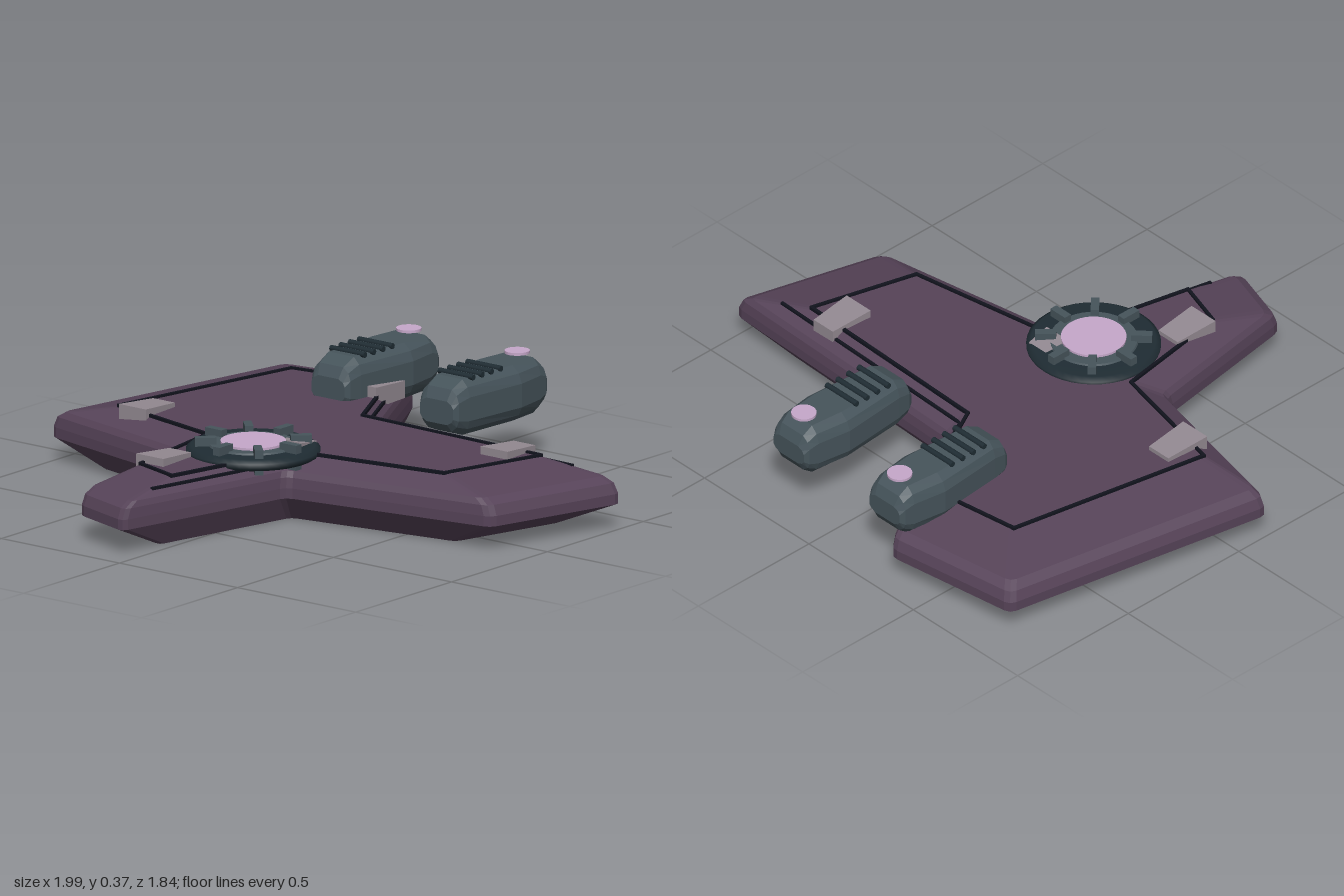
import * as THREE from 'three';

const mat = (name, color) => {
  const m = new THREE.MeshStandardMaterial({ color });
  m.name = name;
  return m;
};

// Faceted skin through equal-length closed rings, capped at both ends; cap2D gives the flat cap coordinates
function loft(rings, cap2D) {
  const pos = [];
  const tri = (a, b, c) => [a, b, c].forEach(p => pos.push(p.x, p.y, p.z));
  const n = rings[0].length;
  for (let i = 0; i < rings.length - 1; i++) {
    for (let j = 0; j < n; j++) {
      const k = (j + 1) % n;
      const a = rings[i][j], b = rings[i][k], c = rings[i + 1][k], d = rings[i + 1][j];
      tri(a, b, c);
      tri(a, c, d);
    }
  }
  const first = rings[0], last = rings[rings.length - 1];
  THREE.ShapeUtils.triangulateShape(first.map(cap2D), []).forEach(f => tri(first[f[2]], first[f[1]], first[f[0]]));
  THREE.ShapeUtils.triangulateShape(last.map(cap2D), []).forEach(f => tri(last[f[0]], last[f[1]], last[f[2]]));
  const g = new THREE.BufferGeometry();
  g.setAttribute('position', new THREE.Float32BufferAttribute(pos, 3));
  g.computeVertexNormals();
  return g;
}

export function createModel() {
  const model = new THREE.Group();
  const hullMat = mat('plum hull', 0x564358);
  const engineMat = mat('slate metal', 0x46545b);
  const darkMat = mat('dark teal', 0x1f2c33);
  const trimMat = mat('black trim', 0x11131d);
  const glowMat = mat('pale lilac', 0xc6a8ca);
  const clampMat = mat('warm grey', 0x948a92);

  const add = (name, geo, material, x = 0, y = 0, z = 0, parent = model) => {
    const m = new THREE.Mesh(geo, material);
    m.name = name;
    m.position.set(x, y, z);
    parent.add(m);
    return m;
  };

  // Hull plan: x, z corners, anticlockwise seen from above
  const plan = [
    [-1.0, 0.125], [-0.38, 0.265], [-0.29, 0.85], [-0.05, 0.925], [0.1, 0.255], [0.86, 0.125],
    [1.0, -0.385], [-0.05, -0.42], [-0.32, -0.93], [-0.815, -0.86],
  ].map(p => new THREE.Vector2(...p));
  const centre = new THREE.Vector2(-0.05, -0.07);
  const scaled = (p, s, y) => new THREE.Vector3(
    centre.x + (p.x - centre.x) * s, y, centre.y + (p.y - centre.y) * s);

  // Soften every corner with three points
  const outline = plan.flatMap((p, i) => {
    const toward = q => p.clone().add(q.clone().sub(p).setLength(0.025));
    const a = toward(plan[(i + plan.length - 1) % plan.length]);
    const c = toward(plan[(i + 1) % plan.length]);
    const mid = a.clone().add(c).multiplyScalar(0.25).addScaledVector(p, 0.5);
    return [a, mid, c];
  });
  const levels = [[0, 0.805], [0.085, 1], [0.12, 1], [0.155, 0.985], [0.175, 0.95], [0.218, 0.74]];
  const hullRings = levels.map(([y, s]) => outline.map(p => scaled(p, s, y)));
  add('hull', loft(hullRings, p => new THREE.Vector2(p.x, -p.z)), hullMat);

  // Dark trim lines
  const trimBar = (name, a, b) => {
    const bar = add(name, new THREE.BoxGeometry(0.011, 0.011, a.distanceTo(b) + 0.008), trimMat);
    bar.position.copy(a).lerp(b, 0.5);
    bar.lookAt(b);
  };
  plan.forEach((p, i) => {
    const q = plan[(i + 1) % plan.length];
    trimBar('deckTrim', scaled(p, 0.74, 0.22), scaled(q, 0.74, 0.22));
  });
  [3, 6, 7].forEach(i => {
    trimBar('lowerTrim', scaled(plan[i], 0.84, 0.196), scaled(plan[i + 1], 0.84, 0.196));
  });

  // Wedge clamps over the trim: x, z, width, length, top
  [
    [-0.65, 0.05, 0.115, 0.165, 0.245], [0.615, -0.275, 0.115, 0.16, 0.245],
    [-0.205, 0.51, 0.115, 0.16, 0.245], [-0.215, -0.615, 0.115, 0.165, 0.255],
    [0.04, 0.115, 0.1, 0.09, 0.25],
  ].forEach(([x, z, w, l, top]) => {
    const g = new THREE.BoxGeometry(w, top - 0.185, l).toNonIndexed();
    const p = g.attributes.position;
    for (let i = 0; i < p.count; i++) {
      const back = p.getZ(i) < 0;
      if (back) p.setX(i, p.getX(i) * 0.8);
      if (p.getY(i) > 0 && back) p.setY(i, p.getY(i) - 0.012);
    }
    g.computeVertexNormals();
    add('clamp', g, clampMat, x, (top + 0.185) / 2, z);
  });

  // Round hatch with spokes and a glowing centre
  const hatch = new THREE.Group();
  hatch.name = 'hatch';
  hatch.position.set(-0.055, 0, 0.235);
  model.add(hatch);
  const ringProfile = [[0.1, 0.2], [0.205, 0.2], [0.222, 0.21], [0.222, 0.226], [0.205, 0.238], [0.1, 0.238]];
  add('hatchRing', new THREE.LatheGeometry(ringProfile.map(p => new THREE.Vector2(...p)), 40), darkMat, 0, 0, 0, hatch);
  add('innerRing', new THREE.CylinderGeometry(0.145, 0.155, 0.02, 40), engineMat, 0, 0.234, 0, hatch);
  add('hatchLight', new THREE.CylinderGeometry(0.108, 0.108, 0.014, 40), glowMat, 0, 0.245, 0, hatch);
  for (let i = 0; i < 8; i++) {
    const a = (i * Math.PI) / 4;
    const spoke = add('spoke', new THREE.BoxGeometry(0.07, 0.085, 0.028), engineMat,
      Math.cos(a) * 0.158, 0.2245, Math.sin(a) * 0.158, hatch);
    spoke.rotation.y = -a;
  }

  // Engine stations, back to front: z, half width, bottom, top
  const stations = [
    [-0.925, 0.072, 0.22, 0.29], [-0.908, 0.082, 0.19, 0.328], [-0.872, 0.088, 0.165, 0.354],
    [-0.75, 0.107, 0.165, 0.354], [-0.505, 0.086, 0.165, 0.354], [-0.455, 0.08, 0.185, 0.328],
    [-0.437, 0.07, 0.21, 0.29],
  ];
  const section = [[1, -0.45], [1, 0.4], [0.88, 0.75], [0.62, 1], [-0.62, 1], [-0.88, 0.75],
    [-1, 0.4], [-1, -0.45], [-0.88, -0.75], [-0.62, -1], [0.62, -1], [0.88, -0.75]];
  const engineRings = stations.map(([z, w, lo, hi]) => section.map(([u, v]) =>
    new THREE.Vector3(u * w, (lo + hi) / 2 + (v * (hi - lo)) / 2, z)));
  const engineGeo = loft(engineRings, p => new THREE.Vector2(p.x, p.y));

  [-0.283, 0.176].forEach(x => {
    const engine = new THREE.Group();
    engine.name = 'engine';
    engine.position.x = x;
    model.add(engine);
    add('engineBody', engineGeo, engineMat, 0, 0, 0, engine);
    // Cooling bars across the top
    for (let i = 0; i < 4; i++) {
      const bar = add('coolingBar', new THREE.CylinderGeometry(0.01, 0.01, 0.145, 10), darkMat,
        0, 0.356, -0.685 + i * 0.048, engine);
      bar.rotation.z = Math.PI / 2;
    }
    // Floating light disc at the rear
    add('engineLight', new THREE.CylinderGeometry(0.042, 0.042, 0.009, 24), glowMat, 0, 0.368, -0.857, engine);
  });

  return model;
}
